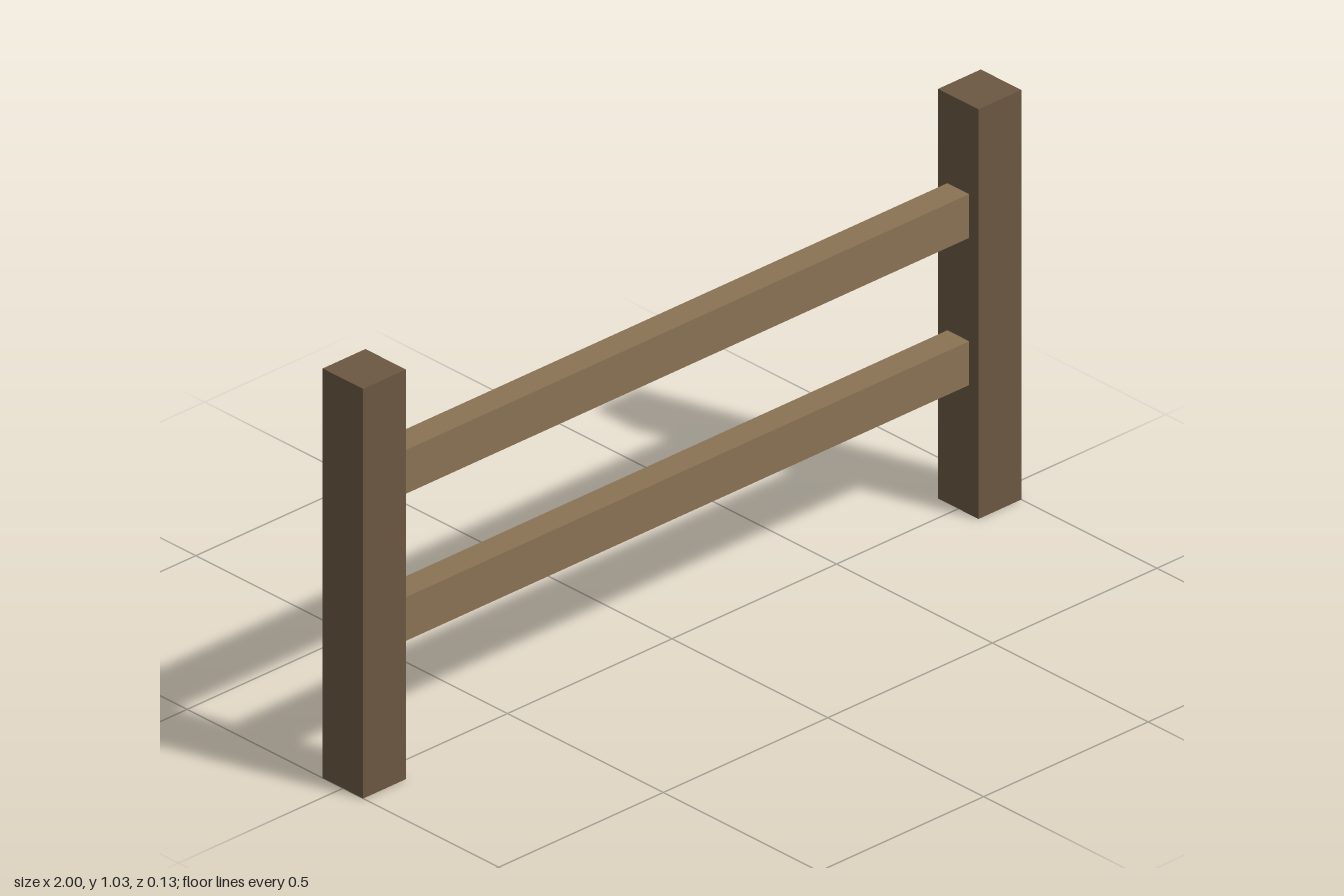
import * as THREE from 'three';

export function createModel() {
  const fence = new THREE.Group();
  fence.name = 'fence';

  const postWood = new THREE.MeshStandardMaterial({ color: 0x6b5742 });
  postWood.name = 'dark post wood';
  const railWood = new THREE.MeshStandardMaterial({ color: 0x8b7355 });
  railWood.name = 'light rail wood';

  const addBeam = (name, size, position, material) => {
    const beam = new THREE.Mesh(new THREE.BoxGeometry(...size), material);
    beam.name = name;
    beam.position.set(...position);
    fence.add(beam);
  };

  // Square end posts
  const postWidth = 0.13, postHeight = 1.03;
  for (const [name, side] of [['leftPost', 1], ['rightPost', -1]]) {
    addBeam(name, [postWidth, postHeight, postWidth],
      [side * (1 - postWidth / 2), postHeight / 2, 0], postWood);
  }

  // Horizontal rails spanning between the posts
  for (const [name, y] of [['lowerRail', 0.38], ['upperRail', 0.75]]) {
    addBeam(name, [2 - 2 * postWidth, 0.11, 0.07], [0, y, 0], railWood);
  }

  return fence;
}
